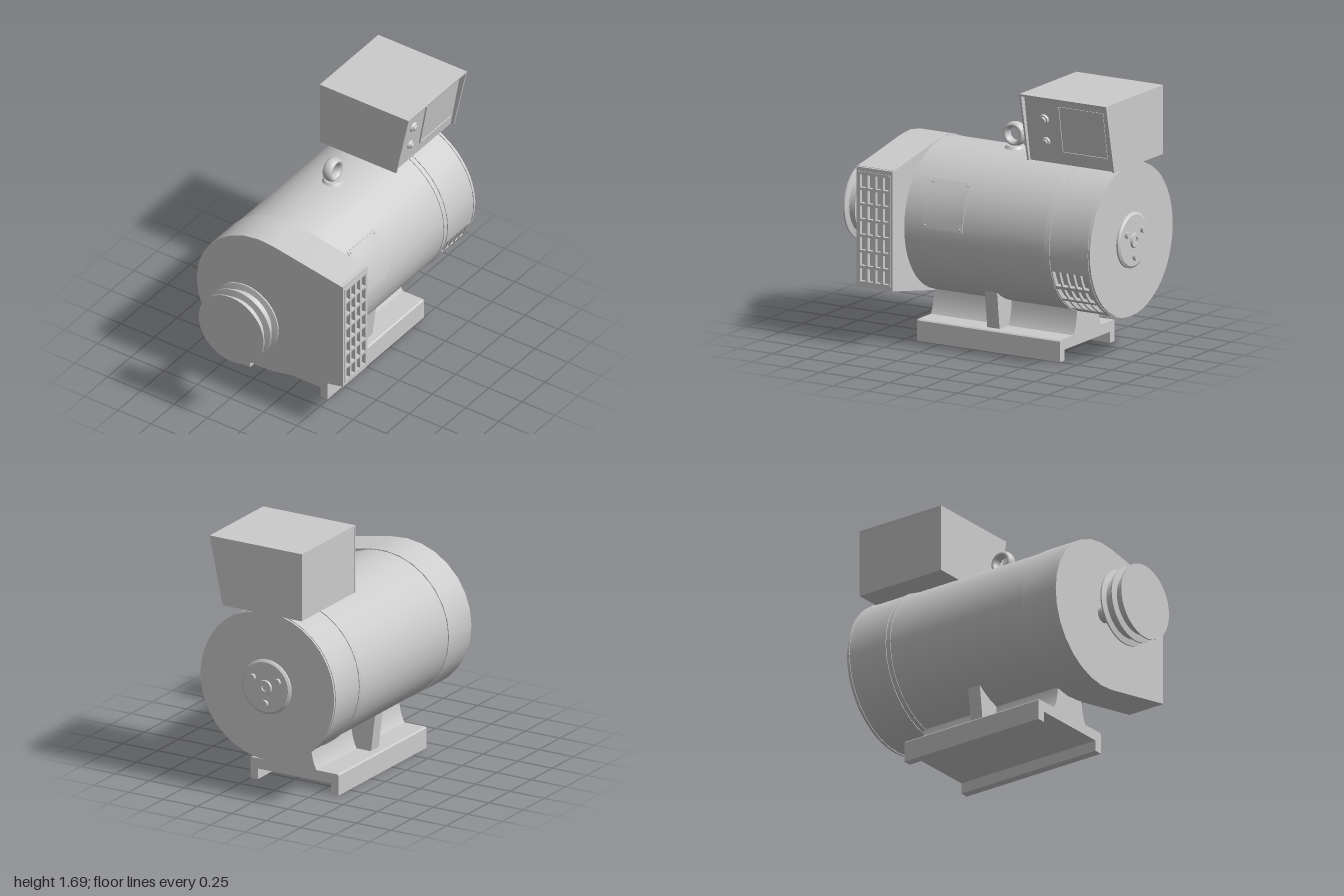
import * as THREE from 'three';
import { toCreasedNormals } from 'three/addons/utils/BufferGeometryUtils.js';

const CX = -0.07, CY = 0.755; // machine axis
const rad = (d) => THREE.MathUtils.degToRad(d);

export function createModel() {
  const model = new THREE.Group();
  const mat = new THREE.MeshStandardMaterial({ color: 0xcccccc });

  const add = (name, geo, parent = model) => {
    const mesh = new THREE.Mesh(geo, mat);
    mesh.name = name;
    parent.add(mesh);
    return mesh;
  };
  const group = (name, parent = model) => {
    const g = new THREE.Group();
    g.name = name;
    parent.add(g);
    return g;
  };
  const box = (name, x0, x1, y0, y1, z0, z1, parent) =>
    add(name, new THREE.BoxGeometry(x1 - x0, y1 - y0, z1 - z0)
      .translate((x0 + x1) / 2, (y0 + y1) / 2, (z0 + z1) / 2), parent);
  // Shape in the x-y plane extruded from z0 to z1
  const slab = (shape, z0, z1, curveSegments = 12) => toCreasedNormals(
    new THREE.ExtrudeGeometry(shape, { depth: z1 - z0, bevelEnabled: false, curveSegments }).translate(0, 0, z0), 0.6);
  const poly = (pts) => new THREE.Shape(pts.map((p) => new THREE.Vector2(...p)));
  // Profile of [radius, z] points, front to back order free, turned about the machine axis
  const turned = (name, profile, parent, sides = 32) =>
    add(name, toCreasedNormals(new THREE.LatheGeometry(profile.map((p) => new THREE.Vector2(...p)), sides), 0.6)
      .rotateX(Math.PI / 2).translate(CX, CY, 0), parent);
  const drum = (name, r, z0, z1, parent, sides) =>
    turned(name, [[0, z0], [r, z0], [r, z1], [0, z1]], parent, sides);
  // Curved plate around the machine axis, angles in degrees
  const arcPlate = (name, r0, r1, a0, a1, z0, z1, parent) => {
    const s = new THREE.Shape();
    s.absarc(CX, CY, r1, rad(a0), rad(a1), false);
    s.absarc(CX, CY, r0, rad(a1), rad(a0), true);
    s.closePath();
    return add(name, slab(s, z0, z1, Math.max(2, Math.ceil((a1 - a0) / 20))), parent);
  };

  // Main barrel
  drum('barrel', 0.48, -0.62, 0.42, model, 48);

  // Teardrop front housing with an outlet on the left side
  const R = 0.487, tangent = rad(79.8);
  const outline = new THREE.Shape();
  outline.moveTo(0.525, 0.373);
  outline.lineTo(0.525, 1.142);
  outline.absarc(CX, CY, R, tangent, 2 * Math.PI - tangent, false);
  outline.closePath();
  add('frontHousing', slab(outline, 0.41, 0.675, 8));

  // Outlet grille: 4 x 7 slots, drawn with u = -z
  const grille = group('outletGrille');
  const slots = (u0, u1, v0, v1) => {
    const s = poly([[u0, v0], [u1, v0], [u1, v1], [u0, v1]]);
    for (let c = 0; c < 4; c++) for (let r = 0; r < 7; r++) {
      const u = -0.645 + c * 0.056, v = 0.415 + r * 0.0995;
      s.holes.push(new THREE.Path([[u, v], [u, v + 0.083], [u + 0.039, v + 0.083], [u + 0.039, v]]
        .map((p) => new THREE.Vector2(...p))));
    }
    return s;
  };
  add('grilleFrame', slab(slots(-0.675, -0.41, 0.375, 1.14), 0.524, 0.545).rotateY(Math.PI / 2), grille);
  add('grillePlate', slab(slots(-0.662, -0.425, 0.4, 1.115), 0.545, 0.55).rotateY(Math.PI / 2), grille);
  for (const y of [0.408, 1.106]) for (const z of [0.436, 0.652])
    add('grilleScrew', new THREE.CylinderGeometry(0.006, 0.006, 0.006, 8).rotateZ(Math.PI / 2).translate(0.551, y, z), grille);

  // Rear cap: wall with a vent window low on the left side
  const cap = group('rearCap');
  const z0 = -0.945, z1 = -0.61, rIn = 0.455, rOut = 0.485;
  drum('capCore', 0.43, z0 + 0.01, z1, cap);
  drum('capEnd', rOut, z0, z0 + 0.02, cap, 48);
  arcPlate('capWall', rIn, rOut, -16.8, 300.5, z0, z1, cap);
  for (const [a, b] of [[-33, -30], [-47, -44]]) arcPlate('ventBar', 0.465, rOut, a, b, -0.91, -0.65, cap);
  arcPlate('capWallRear', rIn, rOut, -59.5, -16.8, z0, -0.901, cap);
  arcPlate('capWallFront', rIn, rOut, -59.5, -16.8, -0.658, z1, cap);
  for (let i = 0; i < 4; i++) {
    const z = -0.709 - i * 0.051;
    arcPlate('ventRib', 0.465, rOut, -59.5, -16.8, z, z + 0.012, cap);
  }
  for (const z of [-0.65, -0.932]) arcPlate('capBand', 0.48, 0.49, 0, 359.9, z, z + 0.008, cap);

  // Bearing cover with three bolts and a hub
  const cover = group('bearingCover');
  turned('coverDisc', [[0, -0.967], [0.163, -0.967], [0.177, -0.957], [0.177, -0.94], [0, -0.94]], cover);
  turned('coverHub', [[0, -0.972], [0.02, -0.972], [0.022, -0.98], [0.045, -0.98], [0.05, -0.96]], cover, 20);
  for (const a of [30, 150, 270])
    add('coverBolt', new THREE.CylinderGeometry(0.022, 0.022, 0.03, 12).rotateX(Math.PI / 2)
      .translate(CX + 0.105 * Math.cos(rad(a)), CY + 0.105 * Math.sin(rad(a)), -0.972), cover);

  // Shaft with key, hub and twin-groove pulley
  const drive = group('drive');
  drum('shaft', 0.054, 0.66, 0.8, drive, 20);
  box('shaftKey', CX + 0.04, CX + 0.062, CY - 0.014, CY + 0.014, 0.67, 0.8, drive);
  drum('pulleyHub', 0.108, 0.785, 0.86, drive);
  turned('pulley', [[0, 0.838], [0.245, 0.838], [0.245, 0.847], [0.205, 0.855], [0.2, 0.91], [0.245, 0.916],
    [0.245, 0.926], [0.2, 0.932], [0.205, 0.982], [0.245, 0.991], [0.245, 1], [0, 1]], drive, 40);

  // Curved inspection plate with corner screws
  const plate = group('inspectionPlate');
  const a0 = 2.6, a1 = 40;
  arcPlate('plateSheet', 0.47, 0.486, a0, a1, -0.015, 0.275, plate);
  for (const a of [a0 + 2, a1 - 2]) for (const z of [0.003, 0.257])
    add('plateScrew', new THREE.SphereGeometry(0.007, 8, 6)
      .translate(CX + 0.487 * Math.cos(rad(a)), CY + 0.487 * Math.sin(rad(a)), z), plate);

  // Lifting eye
  const eye = group('liftingEye');
  add('eyeRing', new THREE.TorusGeometry(0.06, 0.0185, 14, 32).scale(1, 1, 1.85).rotateY(Math.PI / 2)
    .translate(CX, 1.322, -0.1), eye);
  add('eyeCollar', new THREE.CylinderGeometry(0.055, 0.075, 0.03, 24).translate(CX, 1.235, -0.1), eye);

  // Channel base, curved pedestal and side gussets
  const base = group('base');
  add('channel', slab(poly([[-0.39, 0], [-0.335, 0], [-0.335, 0.07], [0.195, 0.07], [0.195, 0], [0.25, 0],
    [0.25, 0.13], [0.242, 0.138], [-0.382, 0.138], [-0.39, 0.13]]), -0.625, 0.415), base);
  const ped = new THREE.Shape();
  ped.moveTo(CX - 0.165, 0.13);
  ped.quadraticCurveTo(CX - 0.12, 0.2, CX - 0.12, 0.33);
  ped.lineTo(CX + 0.12, 0.33);
  ped.quadraticCurveTo(CX + 0.12, 0.2, CX + 0.165, 0.13);
  ped.closePath();
  add('pedestal', slab(ped, -0.625, 0.415, 8), base);
  for (const s of [-1, 1]) {
    const pts = [[CX, 0.13], [CX + s * 0.263, 0.13], [CX + s * 0.296, 0.395], [CX, 0.42]];
    add('gusset', slab(poly(s > 0 ? pts : pts.reverse()), -0.15, -0.06), base);
  }

  // Control box: slanted recessed panel under a hood
  const control = group('controlBox');
  const side = poly([[-0.355, 1.25], [0.22, 1.25], [0.315, 1.69], [-0.355, 1.69]]);
  add('boxCore', slab(poly([[-0.353, 1.25], [0.2, 1.25], [0.275, 1.68], [-0.353, 1.68]]), -0.99, -0.375), control);
  for (const z of [-1, -0.379]) add('boxCheek', slab(side, z, z + 0.012), control);
  add('boxHood', slab(poly([[-0.355, 1.676], [0.311, 1.676], [0.315, 1.69], [-0.355, 1.69]]), -0.995, -0.372), control);

  // Panel fittings: local x is the panel normal
  const panel = group('controlPanel', control);
  panel.position.set(0.2375, 1.465, 0);
  panel.rotation.z = -Math.atan(0.075 / 0.43);
  box('panelDoor', -0.01, 0.004, -0.13, 0.17, -0.95, -0.63, panel);
  box('panelDoorSill', -0.01, 0.01, -0.14, -0.13, -0.95, -0.63, panel);
  box('panelDoorEdge', -0.01, 0.01, -0.14, 0.17, -0.63, -0.622, panel);
  for (const [y, r] of [[0.07, 0.035], [-0.077, 0.03]]) {
    add('knobRim', new THREE.CylinderGeometry(r * 0.85, r, 0.016, 20).rotateZ(-Math.PI / 2).translate(0.006, y, -0.51), panel);
    add('knob', new THREE.CylinderGeometry(r * 0.55, r * 0.65, 0.03, 16).rotateZ(-Math.PI / 2).translate(0.012, y, -0.51), panel);
  }
  return model;
}
